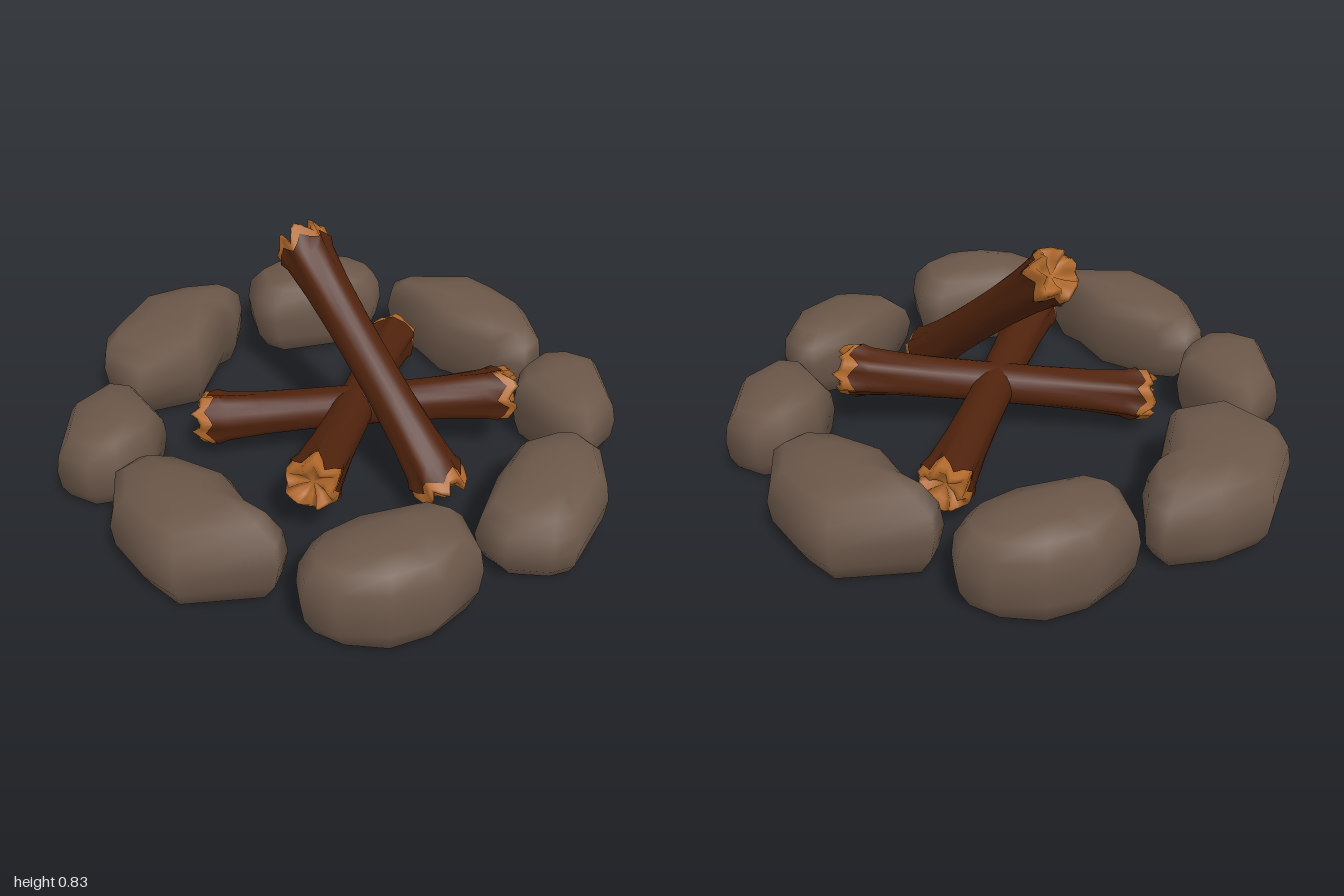
import * as THREE from 'three';

const stoneMat = new THREE.MeshStandardMaterial({ color: 0x6b5749 });
stoneMat.name = 'stone';
const barkMat = new THREE.MeshStandardMaterial({ color: 0x50230d, side: THREE.DoubleSide });
barkMat.name = 'bark';
const woodMat = new THREE.MeshStandardMaterial({ color: 0xb0682a });
woodMat.name = 'splitWood';

function seeded(seed) {
  let s = seed;
  return () => (s = (s * 16807) % 2147483647) / 2147483647;
}

// Skins a stack of equal rings (counter-clockwise around the stacking axis), with optional cap centres
function loft(rings, startCentre, endCentre) {
  const n = rings[0].length, points = rings.flat(), index = [];
  for (let i = 0; i < rings.length - 1; i++) {
    for (let j = 0; j < n; j++) {
      const a = i * n + j, b = i * n + (j + 1) % n;
      index.push(a, b, b + n, a, b + n, a + n);
    }
  }
  const cap = (centre, base, flip) => {
    const c = points.push(centre) - 1;
    for (let j = 0; j < n; j++) {
      const p = base + j, q = base + (j + 1) % n;
      index.push(c, flip ? q : p, flip ? p : q);
    }
  };
  if (startCentre) cap(startCentre, 0, true);
  if (endCentre) cap(endCentre, (rings.length - 1) * n, false);
  const g = new THREE.BufferGeometry().setFromPoints(points);
  g.setIndex(index);
  g.computeVertexNormals();
  return g;
}

// Stone side profile: [height fraction, footprint scale]
const LAYERS = [[0, 0.6], [0.04, 0.83], [0.25, 0.95], [0.52, 1], [0.76, 0.95], [0.93, 0.78], [1, 0.42]];

// A boulder grown from a footprint (clockwise from above); the tilts slope its top along x and z
function stoneGeometry(height, tiltX, tiltZ, outline) {
  const rand = seeded(Math.round(height * 10000));
  const cx = outline.reduce((s, p) => s + p[0], 0) / outline.length;
  const cz = outline.reduce((s, p) => s + p[1], 0) / outline.length;
  const at = (f, dx, dz) =>
    new THREE.Vector3(cx + dx, f * (height + tiltX * dx + tiltZ * dz) + 0.01, cz + dz);
  const rings = LAYERS.map(([f, scale]) => [...outline].reverse().map(([x, z]) => {
    const s = scale === 1 ? 1 : scale + (rand() - 0.5) * 0.05;
    return at(f, (x - cx) * s, (z - cz) * s);
  }));
  return loft(rings, at(0, 0, 0), at(1.02, 0, 0));
}

function addStone(model, name, geometry) {
  const stone = new THREE.Mesh(geometry, stoneMat);
  stone.name = name;
  model.add(stone);
  return stone;
}

// The same boulder again, half a turn around the fire
function addOppositeStone(model, name, geometry, x, z) {
  const stone = addStone(model, name, geometry);
  stone.rotation.y = Math.PI;
  stone.position.set(x, 0, z);
}

// Logs: ribbed bark that flares at both ends, with splintered wood inside
const SIDES = 24;
const radiusAt = (u, a) => (0.073 + 0.018 * u ** 3) * (1 + 0.13 * u * u * Math.cos(6 * a));
const logRing = (fn) => Array.from({ length: SIDES }, (_, j) => {
  const a = (j / SIDES) * Math.PI * 2;
  const [r, y] = fn(a, j);
  return new THREE.Vector3(Math.sin(a) * r, y, Math.cos(a) * r);
});

function makeLog(name, from, to, seed) {
  const rand = seeded(seed);
  const start = new THREE.Vector3(...from), axis = new THREE.Vector3(...to).sub(start);
  const length = axis.length(), log = new THREE.Group();
  log.name = name;
  log.position.copy(start);
  log.quaternion.setFromUnitVectors(new THREE.Vector3(0, 1, 0), axis.normalize());

  const stations = [0, 0.08, 0.2, 0.35, 0.5, 0.65, 0.8, 0.92, 1];
  const bark = new THREE.Mesh(loft(stations.map((t) => logRing((a) => {
    const u = Math.abs(2 * t - 1);
    const notch = u === 1 ? 0.022 + 0.02 * Math.cos(6 * a) + rand() * 0.015 : 0;
    return [radiusAt(u, a), t * length + (t < 0.5 ? notch : -notch)];
  }))), barkMat);
  bark.name = 'bark';
  log.add(bark);

  for (const end of [0, 1]) {
    const tips = Array.from({ length: SIDES }, (_, j) => -0.016 * Math.cos(j * Math.PI / 2) + rand() * 0.03);
    const rings = [
      logRing((a) => [radiusAt(1, a) * 0.9, -0.07]),
      logRing((a, j) => [radiusAt(1, a) * 0.96, tips[j] - 0.015]),
      logRing((a, j) => [radiusAt(1, a) * 0.8, tips[j]]),
      logRing((a, j) => [radiusAt(1, a) * 0.5, tips[j] * 0.6 - 0.02]),
    ];
    const geometry = loft(rings, null, new THREE.Vector3(0, -0.03, 0));
    const wood = new THREE.Mesh(geometry, woodMat);
    wood.name = end ? 'upperSplinters' : 'lowerSplinters';
    wood.position.y = end * length;
    if (!end) wood.rotation.x = Math.PI;
    log.add(wood);
  }
  return log;
}

export function createModel() {
  const model = new THREE.Group();
  model.name = 'campfire';

  // Ring of stones
  const oval = stoneGeometry(0.31, -0.06, 0, [[-0.25, -0.99], [-0.13, -0.96], [-0.09, -0.88], [-0.09, -0.78],
    [-0.2, -0.65], [-0.43, -0.51], [-0.53, -0.52], [-0.62, -0.68], [-0.54, -0.85], [-0.41, -0.95]]);
  addStone(model, 'backLeftStone', oval);
  addOppositeStone(model, 'frontRightStone', oval, 0.06, 0);

  const pear = stoneGeometry(0.3, -0.08, 0, [[0.26, -0.99], [0.4, -0.93], [0.56, -0.82], [0.64, -0.63],
    [0.6, -0.53], [0.48, -0.52], [0.23, -0.58], [0.08, -0.73], [-0.03, -0.78], [-0.03, -0.86]]);
  addStone(model, 'backRightStone', pear);
  addOppositeStone(model, 'frontLeftStone', pear, 0.06, 0);

  const egg = stoneGeometry(0.265, -0.05, 0, [[0.74, -0.57], [0.87, -0.55], [0.97, -0.28], [0.9, -0.09],
    [0.8, -0.09], [0.6, -0.25], [0.59, -0.38], [0.65, -0.52]]);
  addStone(model, 'rightBackStone', egg);
  addOppositeStone(model, 'leftFrontStone', egg, 0.06, 0.06);

  addStone(model, 'rightFrontStone', stoneGeometry(0.27, 0, -0.1, [[0.87, -0.03], [0.95, 0.03], [1, 0.2],
    [0.94, 0.47], [0.87, 0.52], [0.72, 0.55], [0.61, 0.48], [0.63, 0.27], [0.68, 0.09], [0.8, -0.02]]));
  addStone(model, 'leftBackStone', stoneGeometry(0.305, 0.05, 0, [[-0.68, -0.62], [-0.61, -0.58],
    [-0.57, -0.44], [-0.6, -0.38], [-0.57, -0.05], [-0.75, 0.11], [-0.95, 0], [-1, -0.1], [-0.98, -0.4], [-0.84, -0.54]]));

  // Crossed logs
  model.add(
    makeLog('lengthwiseLog', [0.05, 0.16, -0.59], [0.09, 0.265, 0.56], 11),
    makeLog('crosswiseLog', [-0.45, 0.16, 0.18], [0.59, 0.27, -0.16], 23),
    makeLog('leaningLog', [0.46, 0.13, 0.275], [-0.19, 0.765, -0.15], 47),
  );
  return model;
}
